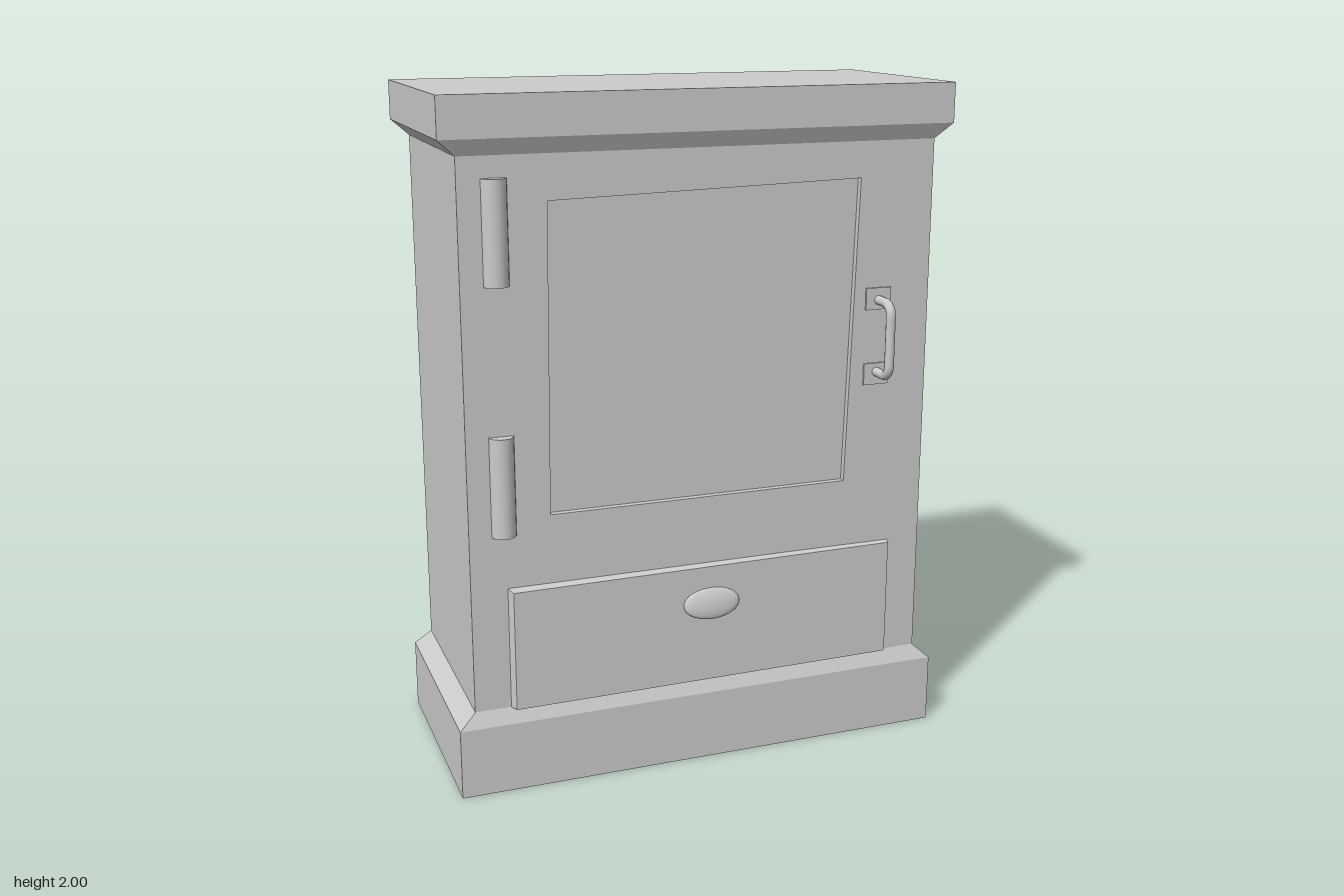
import * as THREE from 'three';

const mat = new THREE.MeshStandardMaterial({ color: 0xcccccc });
const flat = new THREE.MeshStandardMaterial({ color: 0xcccccc, flatShading: true });

function add(parent, name, geometry, x = 0, y = 0, z = 0, material = mat) {
  const m = new THREE.Mesh(geometry, material);
  m.name = name;
  m.position.set(x, y, z);
  parent.add(m);
  return m;
}

// Apply a rule to every vertex of a geometry
function warp(geometry, rule) {
  const p = geometry.attributes.position, v = new THREE.Vector3();
  for (let i = 0; i < p.count; i++) {
    v.fromBufferAttribute(p, i);
    rule(v);
    p.setXYZ(i, v.x, v.y, v.z);
  }
  geometry.computeVertexNormals();
  return geometry;
}

const OUT = { x: 0.755, front: 0.296, back: -0.375 };
const IN = { x: 0.705, front: 0.275, back: -0.352 };

// Box whose bottom and top outlines may differ
function slab(y0, y1, low, high) {
  return warp(new THREE.BoxGeometry(2, 2, 2), v => {
    const s = v.y < 0 ? low : high;
    v.set(v.x * s.x, v.y < 0 ? y0 : y1, v.z > 0 ? s.front : s.back);
  });
}

export function createModel() {
  const g = new THREE.Group();
  g.name = 'cabinetStove';

  // Plinth and cornice with sloped mouldings
  add(g, 'plinth', slab(0, 0.21, OUT, OUT));
  add(g, 'plinthMoulding', slab(0.21, 0.255, OUT, IN));
  add(g, 'corniceMoulding', slab(1.84, 1.885, IN, OUT));
  add(g, 'cornice', slab(1.885, 2, OUT, OUT));

  // Body, with a front sheet cut out around the slightly skewed door panel
  const depth = 0.02;
  const inner = { ...IN, front: IN.front - depth };
  add(g, 'body', slab(0.255, 1.84, inner, inner));
  const sheet = new THREE.Shape([[-0.705, 0.255], [0.705, 0.255], [0.705, 1.84], [-0.705, 1.84]]
    .map(p => new THREE.Vector2(...p)));
  sheet.holes.push(new THREE.Path([[-0.468, 0.827], [-0.458, 1.713], [0.474, 1.735], [0.446, 0.827]]
    .map(p => new THREE.Vector2(...p))));
  add(g, 'frontFrame', new THREE.ExtrudeGeometry(sheet, { depth, bevelEnabled: false }), 0, 0, inner.front);

  // Hinges
  for (const y of [0.925, 1.635]) {
    add(g, 'hinge', new THREE.CylinderGeometry(0.036, 0.036, 0.29, 24), -0.604, y, 0.271);
  }

  // Drawer front, set a little proud on the left
  add(g, 'drawerFront', warp(new THREE.BoxGeometry(2, 2, 2), v => {
    const front = v.z > 0, left = v.x < 0;
    v.set(left ? (front ? -0.588 : -0.602) : (front ? 0.598 : 0.603),
      v.y < 0 ? 0.255 : (front ? 0.615 : 0.624),
      front ? (left ? 0.301 : 0.289) : 0.265);
  }), 0, 0, 0, flat);

  // Oval pull, fuller towards its lower edge
  add(g, 'drawerPull', warp(new THREE.SphereGeometry(1, 32, 20), v =>
    v.set(v.x * 0.088, v.y * 0.047, v.z * 0.016 - v.y * 0.008)), 0.012, 0.502, 0.301);

  // Door handle: bent rod on two small plates
  const path = new THREE.CurvePath();
  const P = (y, z) => new THREE.Vector3(0.54, y, z);
  const top = 1.376, low = 1.159, out = 0.361, r = 0.04;
  path.add(new THREE.LineCurve3(P(top, 0.27), P(top, out - r)));
  path.add(new THREE.QuadraticBezierCurve3(P(top, out - r), P(top, out), P(top - r, out)));
  path.add(new THREE.LineCurve3(P(top - r, out), P(low + r, out)));
  path.add(new THREE.QuadraticBezierCurve3(P(low + r, out), P(low, out), P(low, out - r)));
  path.add(new THREE.LineCurve3(P(low, out - r), P(low, 0.27)));
  const handle = new THREE.Group();
  handle.name = 'doorHandle';
  g.add(handle);
  add(handle, 'handleRod', new THREE.TubeGeometry(path, 64, 0.014, 12));
  for (const y of [1.153, 1.38]) {
    add(handle, 'handlePlate', new THREE.BoxGeometry(0.08, 0.065, 0.014), 0.54, y, 0.274);
  }
  return g;
}
